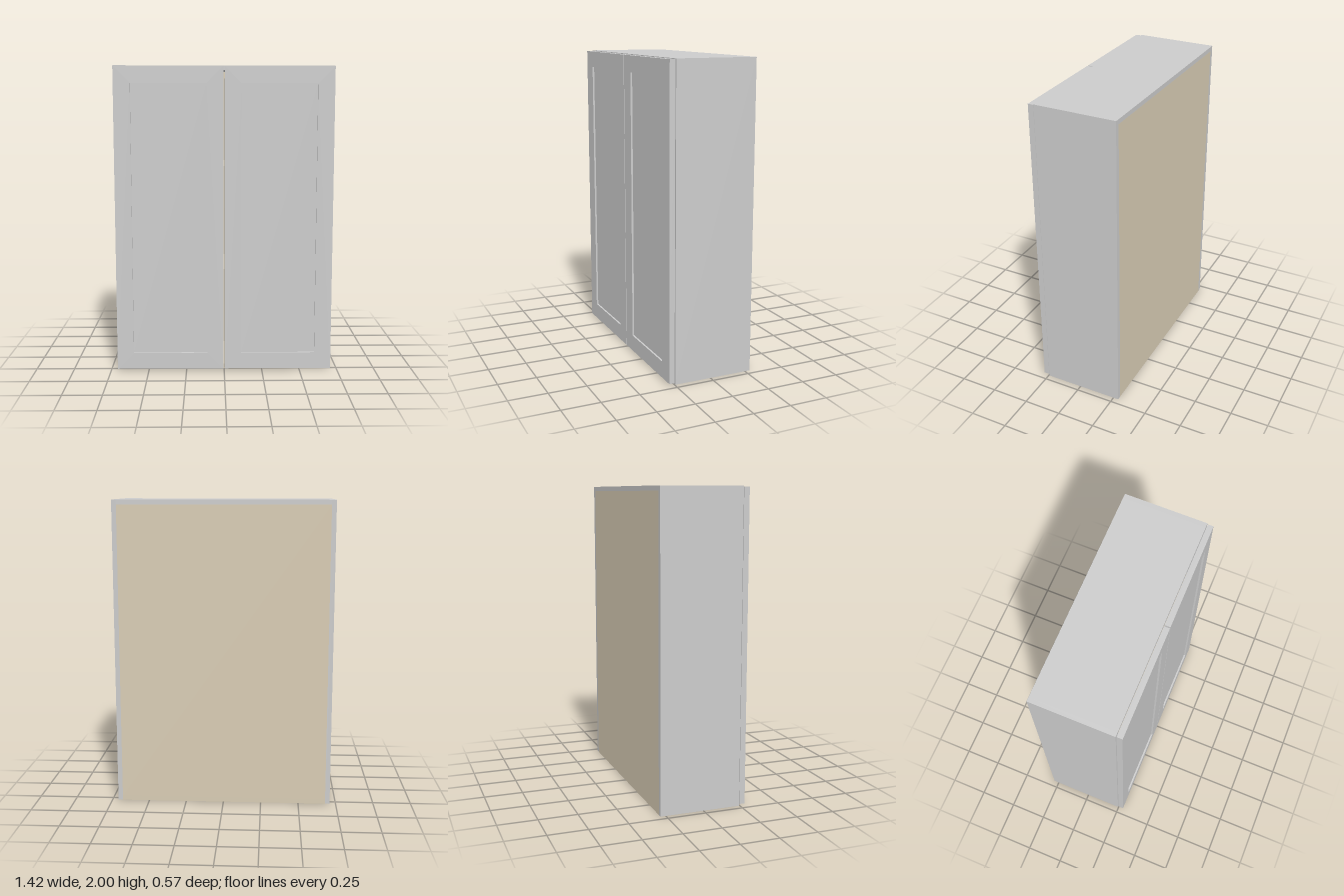
import * as THREE from 'three';

const grey = new THREE.MeshStandardMaterial({ color: 0xcccccc });
const wood = new THREE.MeshStandardMaterial({ color: 0xd8ccb4 });

// Box given by its minimum and maximum corners
function panel(name, [x0, y0, z0], [x1, y1, z1], material) {
  const mesh = new THREE.Mesh(new THREE.BoxGeometry(x1 - x0, y1 - y0, z1 - z0), material);
  mesh.position.set((x0 + x1) / 2, (y0 + y1) / 2, (z0 + z1) / 2);
  mesh.name = name;
  return mesh;
}

// Corners of a rectangle, for outlines and holes
function rectangle(x0, y0, x1, y1) {
  return [[x0, y0], [x1, y0], [x1, y1], [x0, y1]].map(([x, y]) => new THREE.Vector2(x, y));
}

// Framed door with a recessed centre panel
function makeDoor(name, side) {
  const door = new THREE.Group();
  door.name = name;
  const [x0, x1, y0, y1] = [0.004, 0.707, 0.01, 1.996];
  const [back, front, rail, recess] = [0.249, 0.285, 0.108, 0.012];
  const inner = [x0 + rail, y0 + rail, x1 - rail, y1 - rail];

  const outline = new THREE.Shape(rectangle(x0, y0, x1, y1));
  outline.holes.push(new THREE.Path(rectangle(...inner)));
  const frame = new THREE.Mesh(
    new THREE.ExtrudeGeometry(outline, { depth: front - back, bevelEnabled: false }), grey);
  frame.name = 'doorFrame';
  frame.position.set(side > 0 ? 0 : -(x0 + x1), 0, back);

  const centre = panel('doorPanel', [inner[0], inner[1], back + 0.004],
    [inner[2], inner[3], front - recess], grey);
  centre.position.x *= side;
  door.add(frame, centre);
  return door;
}

export function createModel() {
  const cabinet = new THREE.Group();
  cabinet.name = 'wallCabinet';
  const [half, t, back, front] = [0.71, 0.03, -0.285, 0.245];
  const inside = half - t;

  // Carcass
  cabinet.add(
    panel('leftSide', [inside, 0, back], [half, 2, front], grey),
    panel('rightSide', [-half, 0, back], [-inside, 2, front], grey),
    panel('topPanel', [-inside, 2 - t, back], [inside, 2, front], grey),
    panel('bottomPanel', [-inside, 0, back], [inside, t, front], wood),
    panel('backPanel', [-inside, t, back], [inside, 2 - t, back + 0.012], wood),
  );

  // Inner shelves
  for (const y of [0.66, 1.34]) {
    cabinet.add(panel('shelf', [-inside, y - t / 2, back + 0.012], [inside, y + t / 2, front - 0.01], wood));
  }

  // Doors
  cabinet.add(makeDoor('leftDoor', 1), makeDoor('rightDoor', -1));
  return cabinet;
}
